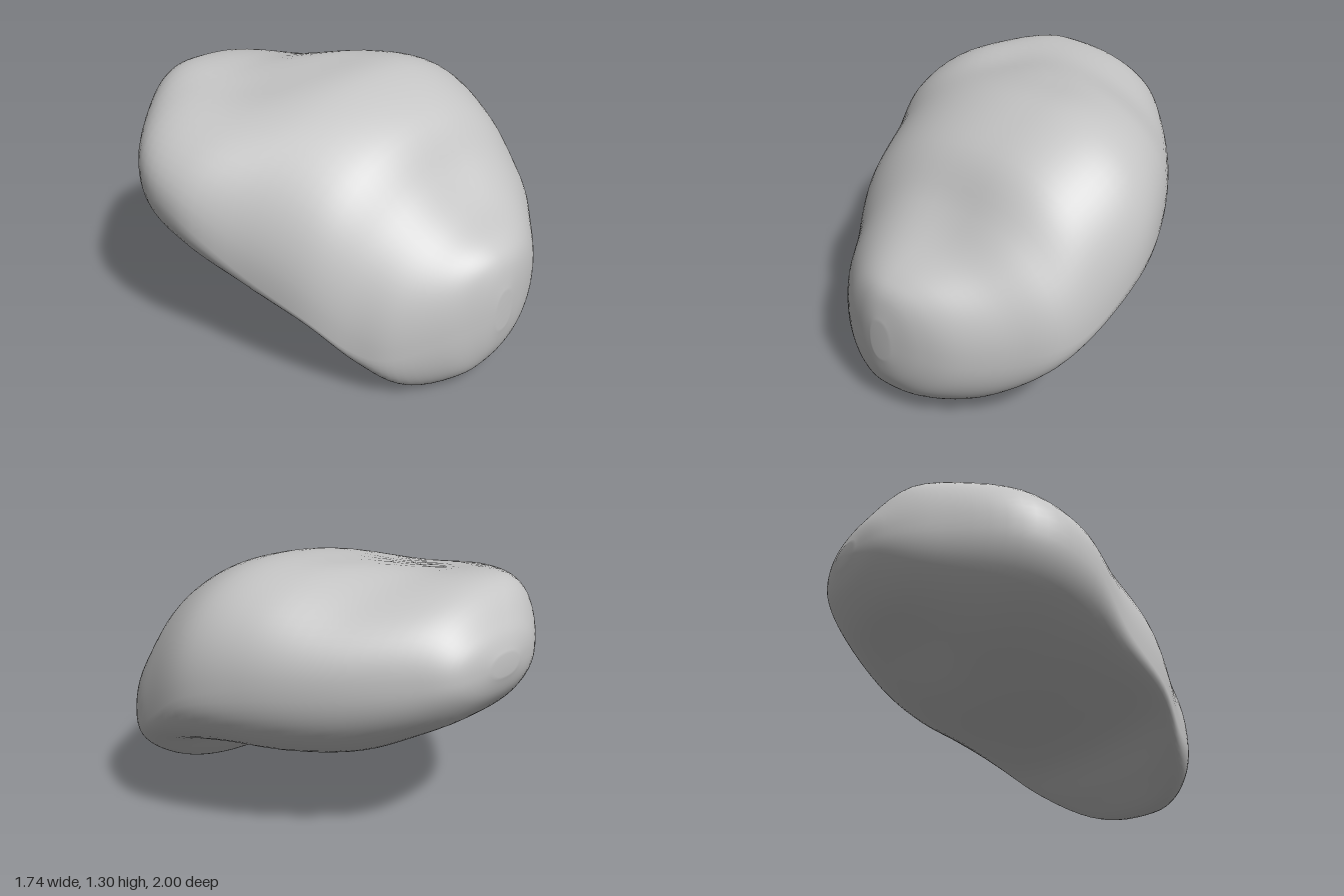
import * as THREE from 'three';

// Cross-sections from back to front. Each gives the section's four extreme points:
// z, left x,y, right x,y, top x,y, bottom x,y
const SECTIONS = [
  [-1.0, -0.16, 0.93, 0.02, 0.93, -0.07, 0.98, -0.07, 0.88],
  [-0.95, -0.36, 0.92, 0.21, 0.9, -0.13, 1.09, -0.06, 0.76],
  [-0.8, -0.57, 0.91, 0.36, 0.87, -0.26, 1.24, -0.05, 0.6],
  [-0.5, -0.84, 0.89, 0.59, 0.85, -0.2, 1.265, -0.02, 0.44],
  [-0.2, -0.87, 0.8, 0.76, 0.82, 0.18, 1.29, 0.02, 0.37],
  [0.1, -0.755, 0.58, 0.855, 0.73, 0.25, 1.295, 0, 0.35],
  [0.4, -0.65, 0.43, 0.83, 0.54, 0.22, 1.17, -0.05, 0.29],
  [0.6, -0.53, 0.28, 0.76, 0.47, 0.18, 0.97, -0.12, 0.11],
  [0.75, -0.43, 0.26, 0.61, 0.44, 0.14, 0.825, -0.11, 0.005],
  [0.9, -0.25, 0.34, 0.42, 0.42, 0.1, 0.73, -0.04, 0.07],
  [0.97, -0.1, 0.38, 0.26, 0.42, 0.08, 0.65, 0.02, 0.18],
  [1.0, 0.0, 0.41, 0.11, 0.42, 0.06, 0.52, 0.05, 0.32],
];

// Soft dents: centre x,y,z, radius, push x,y,z
const DENTS = [
  [-0.3, 1.2, -0.38, 0.2, 0, -0.04, 0],
  [0.15, 0.88, 0.58, 0.22, 0, -0.03, -0.02],
  [-0.1, 0.5, -0.65, 0.22, 0, 0.05, 0.02],
  [0.55, 0.75, 0.45, 0.16, -0.03, 0, -0.02],
];

const AROUND = 72, STEPS = 64;

// Smooth interpolation of every column of the section table
function sectionAt(t) {
  const f = t * (SECTIONS.length - 1), i = Math.min(Math.floor(f), SECTIONS.length - 2), u = f - i;
  const row = k => SECTIONS[Math.max(0, Math.min(SECTIONS.length - 1, k))];
  return row(0).map((_, c) => {
    const [a, b, d, e] = [row(i - 1)[c], row(i)[c], row(i + 1)[c], row(i + 2)[c]];
    return b + 0.5 * u * (d - a + u * (2 * a - 5 * b + 4 * d - e + u * (3 * (b - d) + e - a)));
  });
}

// Rounded quarter arcs joining the four extreme points
function pointOn(s, angle) {
  const [z, lx, ly, rx, ry, tx, ty, bx, by] = s;
  const c = Math.cos(angle), n = Math.sin(angle), p = 0.9;
  const [hx, hy] = c >= 0 ? [rx, ry] : [lx, ly];
  const [vx, vy] = n >= 0 ? [tx, ty] : [bx, by];
  const a = Math.abs(c) ** p, b = Math.abs(n) ** p;
  return new THREE.Vector3(vx + (hx - vx) * a, hy + (vy - hy) * b, z);
}

function dent(p) {
  const q = p.clone();
  for (const [x, y, z, r, dx, dy, dz] of DENTS) {
    const d2 = (p.x - x) ** 2 + (p.y - y) ** 2 + (p.z - z) ** 2;
    q.addScaledVector(new THREE.Vector3(dx, dy, dz), Math.exp(-d2 / (r * r)));
  }
  return q;
}

function buildBoulder() {
  const pos = [], index = [];
  for (let i = 0; i <= STEPS; i++) {
    const s = sectionAt(i / STEPS);
    for (let j = 0; j < AROUND; j++) pos.push(...dent(pointOn(s, (j / AROUND) * Math.PI * 2)).toArray());
  }
  for (let i = 0; i < STEPS; i++) for (let j = 0; j < AROUND; j++) {
    const a = i * AROUND + j, b = i * AROUND + (j + 1) % AROUND;
    index.push(a, b, a + AROUND, b, b + AROUND, a + AROUND);
  }
  // Close both ends
  for (const i of [0, STEPS]) {
    const s = sectionAt(i / STEPS), centre = pos.length / 3;
    pos.push((s[1] + s[3]) / 2, (s[6] + s[8]) / 2, s[0]);
    for (let j = 0; j < AROUND; j++) {
      const a = i * AROUND + j, b = i * AROUND + (j + 1) % AROUND;
      index.push(centre, ...(i ? [a, b] : [b, a]));
    }
  }
  const geometry = new THREE.BufferGeometry();
  geometry.setAttribute('position', new THREE.Float32BufferAttribute(pos, 3));
  geometry.setIndex(index);
  geometry.computeVertexNormals();
  return geometry;
}

export function createModel() {
  const group = new THREE.Group();
  group.name = 'boulderModel';
  const stone = new THREE.MeshStandardMaterial({ color: 0xc4c4c4 });
  stone.name = 'stoneGrey';
  const boulder = new THREE.Mesh(buildBoulder(), stone);
  boulder.name = 'boulder';
  group.add(boulder);
  return group;
}
